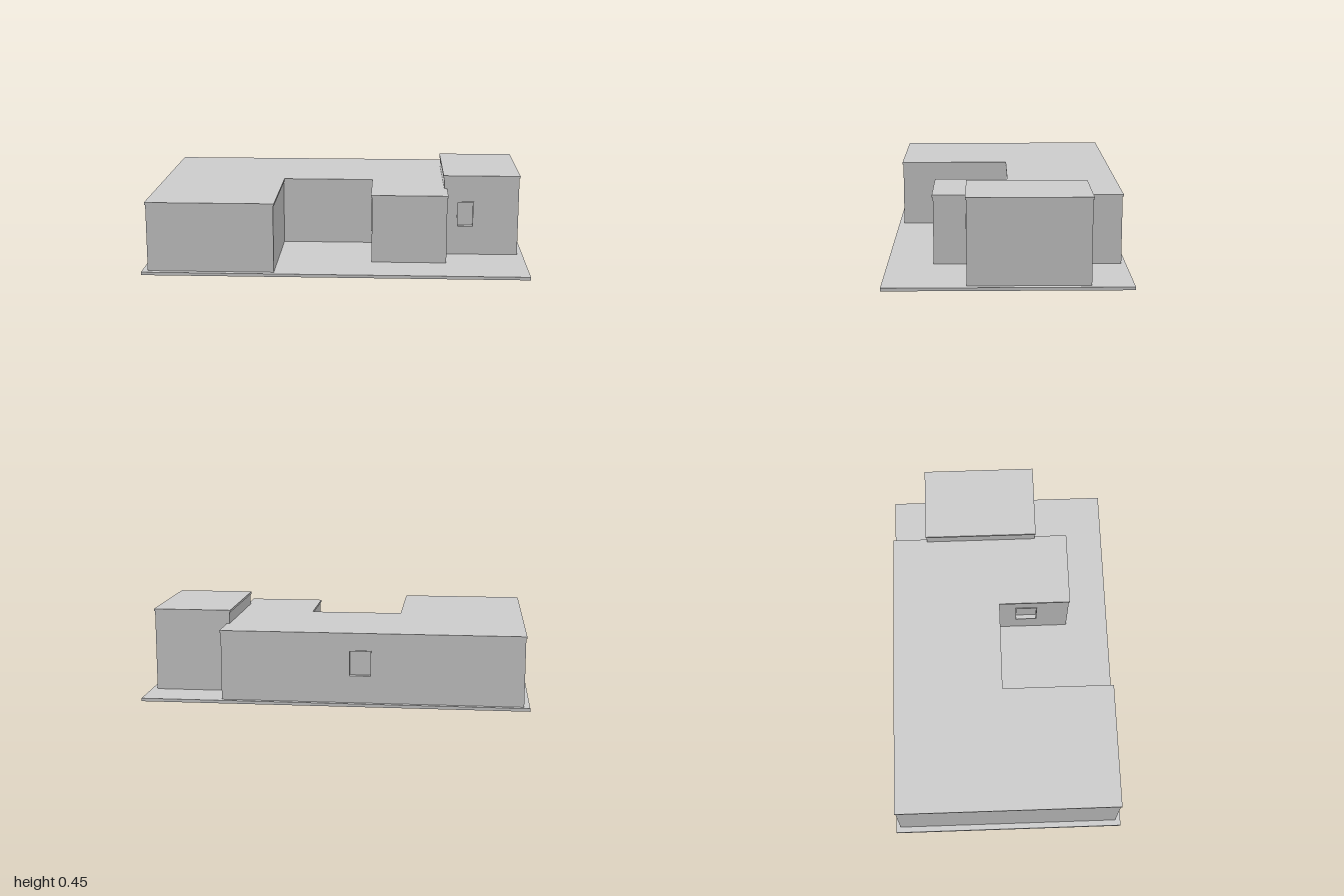
import * as THREE from 'three';

const concrete = new THREE.MeshStandardMaterial({ color: 0xcccccc });
concrete.name = 'light grey';

const BASE = 0.016, THICK = 0.03, RIM = 0.006, ROOF = 0.012, OVERHANG = 0.005;

function addMesh(parent, geometry, name) {
  const mesh = new THREE.Mesh(geometry, concrete);
  mesh.name = name;
  parent.add(mesh);
  return mesh;
}

function rectangle(Type, u0, y0, u1, y1) {
  return new Type([[u0, y0], [u1, y0], [u1, y1], [u0, y1]].map(p => new THREE.Vector2(...p)));
}

// Wall from a to b (outside on the right-hand side), with an optional window [u0, y0, u1, y1]
function addWall(parent, a, b, height, opening) {
  const dx = b[0] - a[0], dz = b[1] - a[1];
  const group = new THREE.Group();
  group.name = 'wall';
  group.position.set(a[0], 0, a[1]);
  group.rotation.y = Math.atan2(-dz, dx);
  const shape = rectangle(THREE.Shape, 0, BASE, Math.hypot(dx, dz), height);
  if (opening) {
    const [u0, y0, u1, y1] = opening, w = 0.004;
    shape.holes.push(rectangle(THREE.Path, u0 + w, y0 + w, u1 - w, y1 - w));
    const rim = rectangle(THREE.Shape, u0, y0, u1, y1);
    rim.holes.push(rectangle(THREE.Path, u0 + w, y0 + w, u1 - w, y1 - w));
    addMesh(group, new THREE.ExtrudeGeometry(rim, { depth: RIM, bevelEnabled: false }), 'windowFrame');
    const pane = new THREE.BoxGeometry(u1 - u0, y1 - y0, 0.006);
    addMesh(group, pane, 'windowPane').position.set((u0 + u1) / 2, (y0 + y1) / 2, -0.022);
  }
  const geometry = new THREE.ExtrudeGeometry(shape, { depth: THICK, bevelEnabled: false });
  geometry.translate(0, 0, -THICK);
  addMesh(group, geometry, 'wallPanel');
  parent.add(group);
}

// Push each right-angled corner of an outline outwards
function offsetOutline(points, d) {
  const n = points.length;
  const normal = i => {
    const a = points[i % n], b = points[(i + 1) % n];
    return [-Math.sign(b[1] - a[1]), Math.sign(b[0] - a[0])];
  };
  return points.map((p, i) => {
    const m = normal(i + n - 1), k = normal(i);
    return [p[0] + d * (m[0] + k[0]), p[1] + d * (m[1] + k[1])];
  });
}

// Walls around an outline of [x, z] corners, closed by a slightly overhanging roof slab
function addBlock(parent, name, points, height, windows) {
  const group = new THREE.Group();
  group.name = name;
  points.forEach((p, i) => addWall(group, p, points[(i + 1) % points.length], height - ROOF, windows[i]));
  const outline = offsetOutline(points, OVERHANG).map(([x, z]) => new THREE.Vector2(x, -z));
  const roof = new THREE.ExtrudeGeometry(new THREE.Shape(outline), { depth: ROOF, bevelEnabled: false });
  roof.rotateX(-Math.PI / 2);
  addMesh(group, roof, 'roof').position.y = height - ROOF;
  parent.add(group);
}

export function createModel() {
  const model = new THREE.Group();
  model.name = 'house';

  // Ground slab
  addMesh(model, new THREE.BoxGeometry(2, BASE, 1.226), 'groundSlab').position.y = BASE / 2;

  // Main building wrapped around the courtyard; windows to the courtyard and the back
  addBlock(model, 'mainBuilding', [
    [-0.97, 0.585], [-0.315, 0.585], [-0.315, -0.015], [0.185, -0.015],
    [0.185, 0.375], [0.58, 0.375], [0.58, -0.59], [-0.97, -0.59],
  ], 0.38, { 3: [0.095, 0.14, 0.215, 0.3], 6: [0.66, 0.155, 0.775, 0.29] });

  // Taller side block with a front window
  addBlock(model, 'sideBlock', [
    [0.57, 0.2], [0.97, 0.2], [0.97, -0.405], [0.57, -0.405],
  ], 0.452, { 0: [0.07, 0.17, 0.16, 0.31] });

  return model;
}
